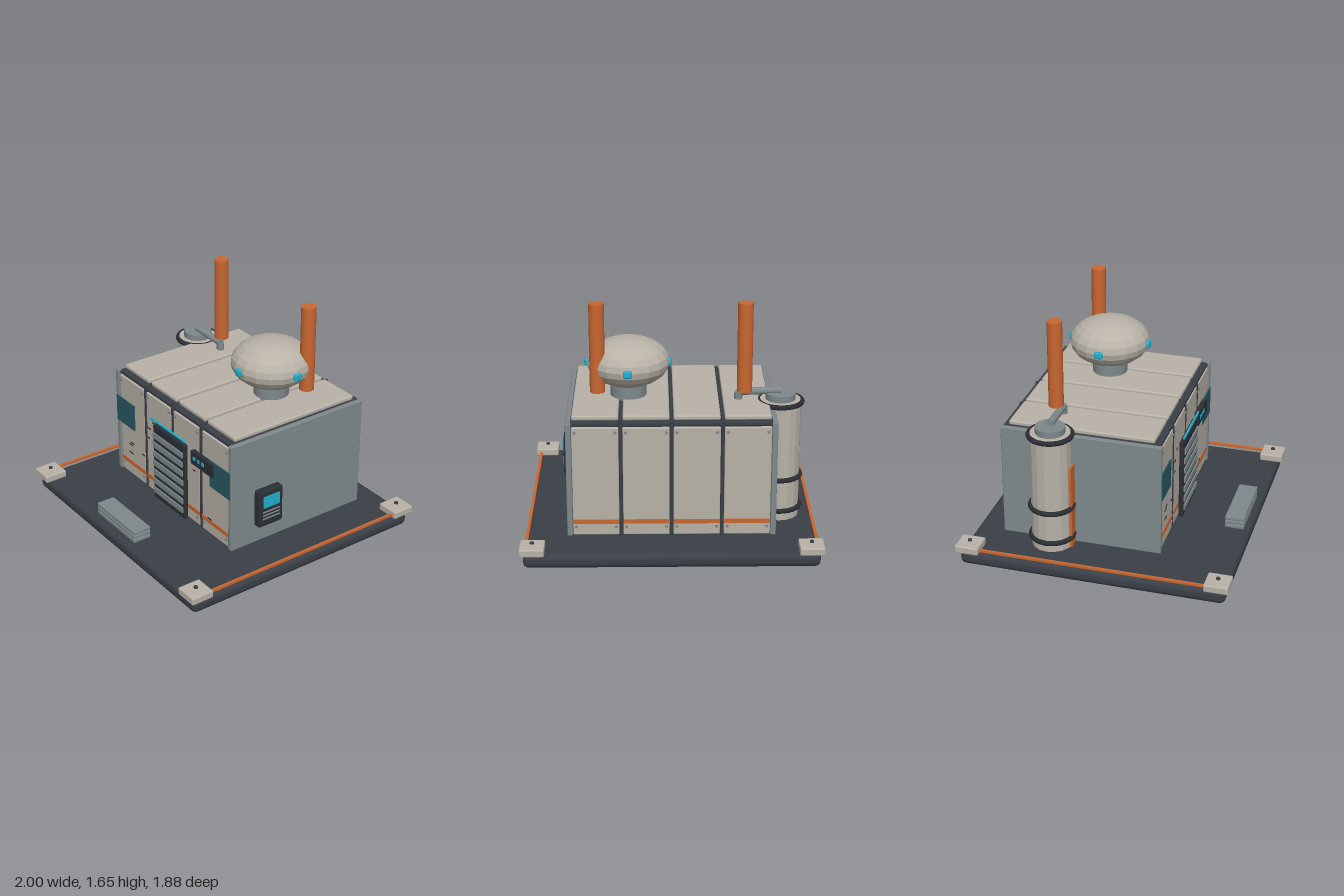
import * as THREE from 'three';
import { RoundedBoxGeometry } from 'three/addons/geometries/RoundedBoxGeometry.js';

const paint = (name, color, extra = {}) => {
  const m = new THREE.MeshStandardMaterial({ color, ...extra });
  m.name = name;
  return m;
};

export function createModel() {
  const root = new THREE.Group();
  root.name = 'generatorHut';

  const cream = paint('cream panel', 0xb8b2a7);
  const creamFlat = paint('cream panel', 0xb8b2a7, { flatShading: true });
  const slate = paint('slate metal', 0x7e898b);
  const dark = paint('dark frame', 0x3a3f47);
  const black = paint('black rubber', 0x2b2f35);
  const orange = paint('orange paint', 0xc96730);
  const cyan = paint('cyan light', 0x1fb0cf);
  const glass = paint('teal glass', 0x2a5864);

  // Helpers: each takes a centre position
  const add = (name, geo, mat, x, y, z, parent = root) => {
    const m = new THREE.Mesh(geo, mat);
    m.name = name;
    m.position.set(x, y, z);
    parent.add(m);
    return m;
  };
  const box = (name, mat, w, h, d, x, y, z, parent) =>
    add(name, new THREE.BoxGeometry(w, h, d), mat, x, y, z, parent);
  const soft = (name, mat, w, h, d, r, x, y, z, parent) =>
    add(name, new RoundedBoxGeometry(w, h, d, 2, r), mat, x, y, z, parent);
  const rod = (name, mat, r, h, x, y, z, seg = 16, parent) =>
    add(name, new THREE.CylinderGeometry(r, r, h, seg), mat, x, y, z, parent);
  const group = (name) => {
    const g = new THREE.Group();
    g.name = name;
    root.add(g);
    return g;
  };

  // Base slab with corner pads and side rails
  soft('baseSlab', dark, 1.956, 0.1, 1.83, 0.04, 0, 0.05, 0);
  for (const sx of [-1, 1]) {
    for (const sz of [-1, 1]) {
      soft('cornerPad', cream, 0.165, 0.054, 0.165, 0.01, sx * 0.9175, 0.125, sz * 0.8575);
      rod('padBolt', dark, 0.014, 0.012, sx * 0.9175, 0.166, sz * 0.8575, 8);
    }
    box('sideRail', orange, 0.02, 0.016, 1.6, sx * 0.962, 0.122, 0);
  }

  // Hut core and end walls
  const hut = group('hut');
  box('core', dark, 1.32, 0.8, 1.05, 0, 0.535, -0.145, hut);
  for (const sx of [-1, 1])
    soft('endWall', slate, 0.038, 0.8, 1.106, 0.008, sx * 0.674, 0.535, -0.141, hut);

  // Wall panels, bolts and stripe on the front and back
  const bays = [-0.5, -0.1667, 0.1667, 0.5];
  for (const s of [1, -1]) {
    const face = -0.143 + s * 0.543;
    for (const x of bays) {
      soft('wallPanel', cream, 0.308, 0.765, 0.03, 0.008, x, 0.522, face - s * 0.015, hut);
      for (const dx of [-0.132, 0.132])
        for (const y of [0.2, 0.87])
          rod('panelBolt', slate, 0.01, 0.012, x + dx, y, face + s * 0.003, 8, hut).rotation.x = Math.PI / 2;
      box('stripe', orange, 0.308, 0.03, 0.006, x, 0.237, face + s * 0.002, hut);
    }
    for (const x of [-0.333, 0, 0.333])
      soft('wallPost', dark, 0.024, 0.79, 0.03, 0.006, x, 0.53, face - s * 0.012, hut);
    soft('topRail', dark, 1.31, 0.026, 0.03, 0.006, 0, 0.924, face - s * 0.018, hut);
  }

  // Roof panels and the ribs between them
  for (const x of bays)
    soft('roofPanel', cream, 0.307, 0.034, 1.002, 0.012, x, 0.954, -0.145, hut);
  for (const x of [-0.333, 0, 0.333])
    soft('roofRib', dark, 0.02, 0.02, 1.08, 0.006, x, 0.94, -0.145, hut);

  // Louvred door with a light bar above
  const door = group('door');
  soft('doorPanel', black, 0.38, 0.59, 0.034, 0.012, 0, 0.43, 0.421, door);
  for (let i = 0; i < 7; i++)
    box('louvre', slate, 0.355, 0.04, 0.014, 0, 0.643 - i * 0.073, 0.441, door);
  soft('lightBar', cyan, 0.416, 0.016, 0.014, 0.005, 0, 0.763, 0.44, door);

  // Front windows and control box
  for (const sx of [-1, 1])
    box('window', glass, 0.225, 0.2, 0.008, sx * 0.568, 0.635, 0.414);
  const control = group('controlBox');
  box('controlCase', black, 0.245, 0.098, 0.032, 0.383, 0.673, 0.416, control);
  for (const x of [0.303, 0.352, 0.4])
    box('controlLight', cyan, 0.024, 0.024, 0.008, x, 0.677, 0.434, control);

  // Small scuffs on the front panels: x, y, width
  const scuffs = [[-0.53, 0.32, 0.05], [-0.53, 0.385, 0.05], [-0.51, 0.405, 0.04], [-0.29, 0.63, 0.04],
    [-0.235, 0.695, 0.03], [-0.37, 0.375, 0.04], [-0.3, 0.55, 0.03], [0.255, 0.553, 0.03], [0.435, 0.258, 0.04]];
  for (const [x, y, w] of scuffs)
    box('scuff', black, w, 0.008, 0.004, x, y, 0.402);

  // Stacked front step
  for (let i = 0; i < 3; i++)
    soft('stepBoard', slate, 0.465, 0.027, 0.132, 0.006, -0.003, 0.148 + i * 0.03, 0.813);

  // Side console with screen
  const console_ = group('sideConsole');
  soft('consoleCase', black, 0.062, 0.275, 0.2, 0.015, 0.719, 0.413, 0.123, console_);
  box('consoleScreen', cyan, 0.008, 0.086, 0.132, 0.753, 0.467, 0.123, console_);
  for (const y of [0.39, 0.364, 0.338])
    box('consoleLine', slate, 0.008, 0.009, 0.14, 0.751, y, 0.123, console_);

  // Side tank with bands, fuel strip, cap and crossover pipe
  const tank = group('sideTank');
  const tx = -0.733, tz = -0.33;
  rod('tankBody', creamFlat, 0.14, 0.835, tx, 0.553, tz, 16, tank);
  for (const y of [0.205, 0.43, 0.956])
    add('tankBand', new THREE.TorusGeometry(0.144, 0.018, 8, 28), black, tx, y, tz, tank).rotation.x = Math.PI / 2;
  box('tankStrip', orange, 0.08, 0.6, 0.02, -0.73, 0.435, tz + 0.14, tank);
  rod('tankCap', slate, 0.1, 0.045, tx, 0.992, tz, 20, tank);
  rod('crossPipe', slate, 0.025, 0.29, -0.588, 1.025, tz, 12, tank).rotation.z = Math.PI / 2 - 0.03;
  rod('pipeFoot', slate, 0.027, 0.055, -0.45, 0.994, tz, 12, tank);

  // Exhaust stacks
  for (const sx of [-1, 1])
    rod('exhaustStack', orange, 0.051, 0.61, sx * 0.488, 1.345, -0.367, 16);

  // Flattened dome tank on a neck, ringed by four lamps
  const dome = group('domeTank');
  dome.position.set(0.285, 0, -0.225);
  rod('domeNeck', slate, 0.122, 0.12, 0, 1.02, 0, 20, dome);
  add('domeShell', new THREE.SphereGeometry(0.28, 18, 12), creamFlat, 0, 1.205, 0, dome).scale.y = 0.59;
  for (let i = 0; i < 4; i++) {
    const a = i * Math.PI / 2;
    soft('domeLamp', cyan, 0.06, 0.05, 0.03, 0.012,
      Math.sin(a) * 0.278, 1.202, Math.cos(a) * 0.278, dome).rotation.y = a;
  }

  return root;
}
